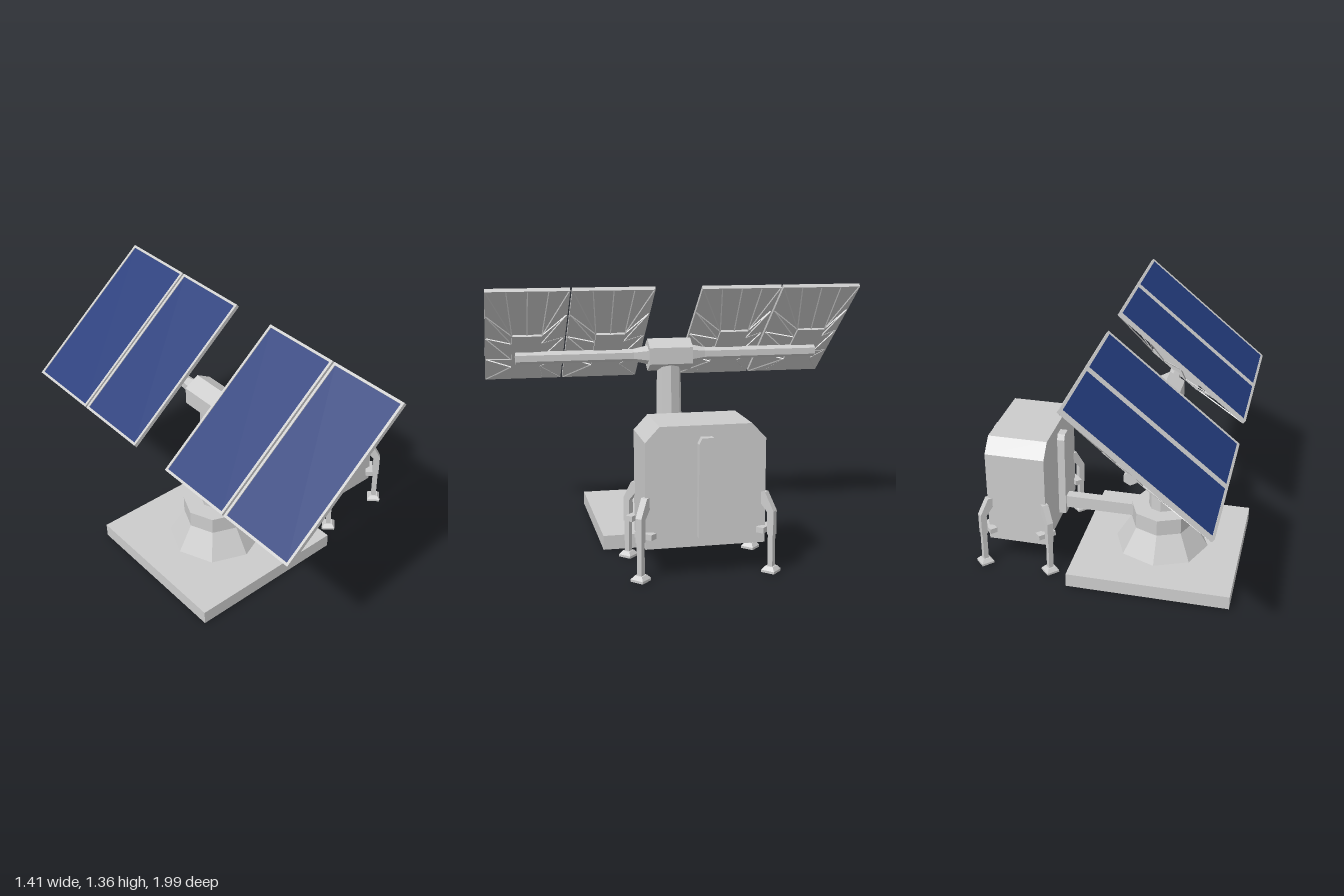
import * as THREE from 'three';

const grey = new THREE.MeshStandardMaterial({ color: 0xcccccc, flatShading: true, side: THREE.DoubleSide });
const blue = new THREE.MeshStandardMaterial({ color: 0x223a7a });

function add(parent, name, geo, x = 0, y = 0, z = 0, mat = grey) {
  const m = new THREE.Mesh(geo, mat);
  m.name = name;
  m.position.set(x, y, z);
  parent.add(m);
  return m;
}

function group(parent, name, x = 0, y = 0, z = 0) {
  const g = new THREE.Group();
  g.name = name;
  g.position.set(x, y, z);
  parent.add(g);
  return g;
}

const box = (w, h, d) => new THREE.BoxGeometry(w, h, d);
const cyl = (top, bottom, h, n, open = false) => new THREE.CylinderGeometry(top, bottom, h, n, 1, open);

// Outline in x, y extruded along z and centred on z = 0
function prism(points, depth) {
  const shape = new THREE.Shape(points.map(p => new THREE.Vector2(...p)));
  return new THREE.ExtrudeGeometry(shape, { depth, bevelEnabled: false }).translate(0, 0, -depth / 2);
}

// Thin three-sided strut between two points
function strut(parent, a, b) {
  const from = new THREE.Vector3(...a), to = new THREE.Vector3(...b);
  const dir = to.clone().sub(from);
  const m = add(parent, 'strut', cyl(0.0035, 0.0035, dir.length(), 3, true));
  m.position.copy(from).add(to).multiplyScalar(0.5);
  m.quaternion.setFromUnitVectors(new THREE.Vector3(0, 1, 0), dir.normalize());
}

// One framed panel with its truss: local x runs up the slope, y is the panel normal
function buildPanel(parent, z) {
  const p = group(parent, 'solarPanel', -0.33, 1.077, z);
  p.rotation.z = 0.681;
  const L = 0.435, W = 0.215, T = 0.021, rim = 0.013;
  add(p, 'panelBack', box(2 * L, 0.012, 2 * W), 0, -0.0045, 0);
  add(p, 'solarCells', box(2 * (L - rim), 0.005, 2 * (W - rim)), 0, 0.004, 0, blue);
  for (const s of [-1, 1]) {
    add(p, 'frameEnd', box(rim, T, 2 * W), s * (L - rim / 2), 0, 0);
    add(p, 'frameSide', box(2 * (L - rim), T, rim), 0, 0, s * (W - rim / 2));
  }
  // Mounting plate resting on the arm
  const D = -0.097, pl = 0.158, pw = 0.078, back = -0.01;
  add(p, 'mountPlate', box(2 * pl, 0.012, 2 * pw), 0, D, 0);
  // Zigzag struts along both long sides
  const zig = [[-L, 0], [-pl, 1], [-L / 2, 0], [-pl / 2, 1], [0, 0], [pl / 2, 1], [L / 2, 0], [pl, 1], [L, 0]];
  for (const s of [-1, 1]) {
    const pt = ([u, low]) => [u * 0.99, low ? D : back, s * (low ? pw : W - 0.005)];
    for (let i = 0; i < zig.length - 1; i++) strut(p, pt(zig[i]), pt(zig[i + 1]));
    // Fan of struts at each short end
    for (const [low, high] of [[-pw, -W / 2], [0, 0], [pw, W / 2]])
      strut(p, [s * pl, D, low], [s * (L - 0.005), back, high]);
  }
}

// Leg at a cabinet corner: local x points outward along the diagonal
function buildLeg(parent, sx, sz) {
  const leg = group(parent, 'leg', 0.4675 + sx * 0.1575, 0, sz * 0.295);
  leg.rotation.y = Math.atan2(-sz, sx);
  add(leg, 'legPost', prism([[0.022, 0.2], [0.056, 0.2], [0.056, 0.32], [0.008, 0.41],
    [-0.03, 0.41], [-0.03, 0.37], [0.022, 0.31]], 0.034));
  add(leg, 'lowerPost', box(0.027, 0.18, 0.027), 0.039, 0.12, 0);
  add(leg, 'legBracket', box(0.04, 0.028, 0.1), 0, 0.226, 0);
  add(leg, 'foot', cyl(0.03, 0.05, 0.018, 4).rotateY(Math.PI / 4), 0.039, 0.031, 0);
  add(leg, 'footPad', box(0.07, 0.012, 0.07), 0.039, 0.016, 0);
}

export function createModel() {
  const model = new THREE.Group();
  model.name = 'solarGenerator';
  const cx = -0.27;

  // Base slab, hollow underneath
  const base = group(model, 'base', cx, 0, 0);
  add(base, 'slabTop', box(0.87, 0.008, 0.87), 0, 0.081, 0);
  for (let i = 0; i < 4; i++) {
    const side = add(group(base, 'slabSide'), 'slabWall', box(0.87, 0.075, 0.006), 0, 0.0475, 0.432);
    side.parent.rotation.y = i * Math.PI / 2;
  }

  // Octagonal pedestal and mast
  add(base, 'pedestal', cyl(0.173, 0.303, 0.22, 8, true), 0, 0.114, 0);
  add(base, 'collar', cyl(0.173, 0.173, 0.091, 8), 0, 0.2695, 0);
  add(base, 'mast', cyl(0.066, 0.077, 0.62, 8), 0, 0.62, 0);

  // Hexagonal head with an arm to each side
  const head = group(model, 'head', -0.268, 0.967, 0);
  const along = g => g.rotateX(Math.PI / 2);
  add(head, 'hub', along(cyl(0.09, 0.09, 0.24, 6)));
  for (const s of [0, 1]) {
    const arm = group(head, 'arm');
    arm.rotation.y = s * Math.PI;
    add(arm, 'armTaper', along(cyl(0.034, 0.052, 0.08, 6)), 0, 0, 0.16);
    add(arm, 'armBar', along(cyl(0.034, 0.034, 0.64, 6)), 0, 0, 0.52);
  }

  // Two panels on each arm
  for (const z of [-0.78, -0.34, 0.34, 0.78]) buildPanel(model, z);

  // Cabinet with sloped top edges
  const cabinet = group(model, 'cabinet');
  add(cabinet, 'cabinetBody', prism([[-0.295, 0.155], [0.295, 0.155], [0.295, 0.675], [0.225, 0.75],
    [-0.225, 0.75], [-0.295, 0.675]], 0.32).rotateY(Math.PI / 2), 0.4675, 0, 0);

  // Ribs on both side walls, bevelled at the top
  const outline = (w, y) => [[-w, 0.205], [w, 0.205], [w, y - 0.03], [w - 0.015, y], [-w + 0.015, y], [-w, y - 0.03]];
  for (const s of [-1, 1])
    add(cabinet, 'sideRib', prism(outline(0.043, 0.695), 0.05).rotateY(Math.PI / 2), 0.4675 + s * 0.175, 0, 0);

  // Conduit from the pedestal to the cabinet
  add(model, 'conduit', box(0.43, 0.07, 0.056), 0.085, 0.274, 0);

  for (const sx of [-1, 1]) for (const sz of [-1, 1]) buildLeg(cabinet, sx, sz);
  return model;
}
